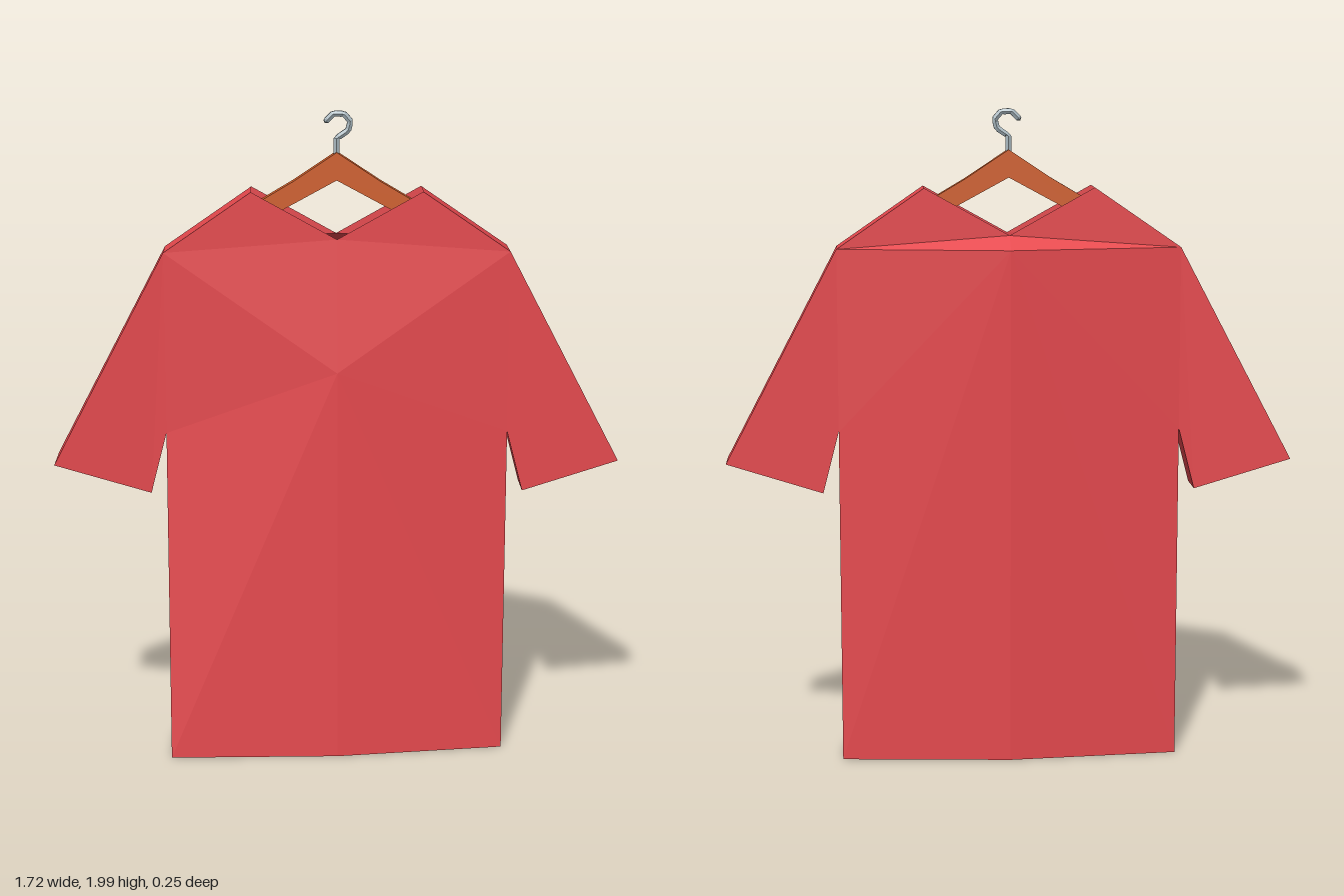
import * as THREE from 'three';

const mat = (color) => new THREE.MeshStandardMaterial({ color, flatShading: true, side: THREE.DoubleSide });
const FABRIC = mat(0xe5484d), WOOD = mat(0xcf5f2b), STEEL = mat(0xa9b8bf);

// Flat faces from convex corner loops, each split as a fan
function faceMesh(name, faces, material, flip) {
  const pos = [];
  for (const loop of faces) {
    const c = flip ? [...loop].reverse() : loop;
    for (let i = 1; i < c.length - 1; i++) pos.push(...c[0], ...c[i], ...c[i + 1]);
  }
  const g = new THREE.BufferGeometry();
  g.setAttribute('position', new THREE.Float32BufferAttribute(pos, 3));
  g.computeVertexNormals();
  const m = new THREE.Mesh(g, material);
  m.name = name;
  return m;
}

// One half of the shirt: s = 1 is the wearer's left, s = -1 the right
function shirtHalf(s) {
  const zf = 0.057, zb = -0.063;
  const pair = (x, y, f = zf, b = zb) => ({ f: [s * x, y, f], b: [s * x, y, b] });
  const right = s < 0;
  // centre line
  const collar = pair(0, 1.62);
  const chest = [0, 1.22, 0.092], upperBack = [0, 1.58, -0.123];
  const hemMid = pair(0, 0, 0.122, -0.105);
  // outline
  const neck = pair(0.255, 1.762);
  const shoulder = pair(0.517, 1.582);
  const cuffOut = right ? pair(0.858, 0.935, 0.073, -0.088) : pair(0.858, 0.935);
  const cuffIn = pair(0.566, 0.842);
  const armpit = pair(0.517, 1.03);
  const hem = right ? pair(0.517, 0, 0.122, zb) : pair(0.517, 0);

  const strip = (p, q) => [p.f, q.f, q.b, p.b];
  const g = new THREE.Group();
  g.name = right ? 'shirtRight' : 'shirtLeft';
  g.add(
    faceMesh('frontPanel', [
      [collar.f, shoulder.f, neck.f],
      [chest, shoulder.f, collar.f],
      [chest, armpit.f, shoulder.f],
      [chest, hem.f, armpit.f],
      [chest, hemMid.f, hem.f],
    ], FABRIC, right),
    faceMesh('backPanel', [
      [collar.b, neck.b, shoulder.b],
      [collar.b, shoulder.b, upperBack],
      [upperBack, shoulder.b, armpit.b],
      [upperBack, armpit.b, hem.b],
      [upperBack, hem.b, hemMid.b],
    ], FABRIC, right),
    faceMesh('sidePanels', [strip(neck, shoulder), strip(armpit, hem)].map((l, i) => l), FABRIC, right),
    // sleeve, open at the cuff
    faceMesh('sleeve', [
      [shoulder.f, armpit.f, cuffIn.f],
      [shoulder.f, cuffIn.f, cuffOut.f],
      [shoulder.b, cuffIn.b, armpit.b],
      [shoulder.b, cuffOut.b, cuffIn.b],
      strip(shoulder, cuffOut),
      strip(cuffIn, armpit),
    ], FABRIC, right),
  );
  return g;
}

function hanger() {
  const g = new THREE.Group();
  g.name = 'hanger';
  // wooden arms
  const half = [[0.13, 1.787], [0.24, 1.722], [0.24, 1.66]];
  const outline = [[0, 1.873], ...half, [0, 1.79], ...half.map(([x, y]) => [-x, y]).reverse()];
  const shape = new THREE.Shape(outline.map(([x, y]) => new THREE.Vector2(x, y)));
  const geo = new THREE.ExtrudeGeometry(shape, { depth: 0.04, bevelEnabled: false });
  const arms = new THREE.Mesh(geo.translate(0, 0, -0.025), WOOD);
  arms.name = 'hangerArms';
  // bent wire hook
  const pts = [[0, 1.86], [0, 1.913], [0.034, 1.936], [0.041, 1.963], [0.022, 1.985], [-0.01, 1.986], [-0.03, 1.966]]
    .map(([x, y]) => new THREE.Vector3(x, y, -0.004));
  const path = new THREE.CurvePath();
  for (let i = 0; i < pts.length - 1; i++) path.add(new THREE.LineCurve3(pts[i], pts[i + 1]));
  const hook = new THREE.Group();
  hook.name = 'hook';
  const wire = new THREE.Mesh(new THREE.TubeGeometry(path, 24, 0.01, 6), STEEL);
  wire.name = 'hookWire';
  hook.add(wire);
  // closed wire ends
  for (const p of [pts[0], pts[pts.length - 1]]) {
    const tip = new THREE.Mesh(new THREE.IcosahedronGeometry(0.01, 0), STEEL);
    tip.name = 'hookTip';
    tip.position.copy(p);
    hook.add(tip);
  }
  g.add(arms, hook);
  return g;
}

export function createModel() {
  const model = new THREE.Group();
  model.name = 'shirtOnHanger';
  model.add(shirtHalf(1), shirtHalf(-1), hanger());
  return model;
}
